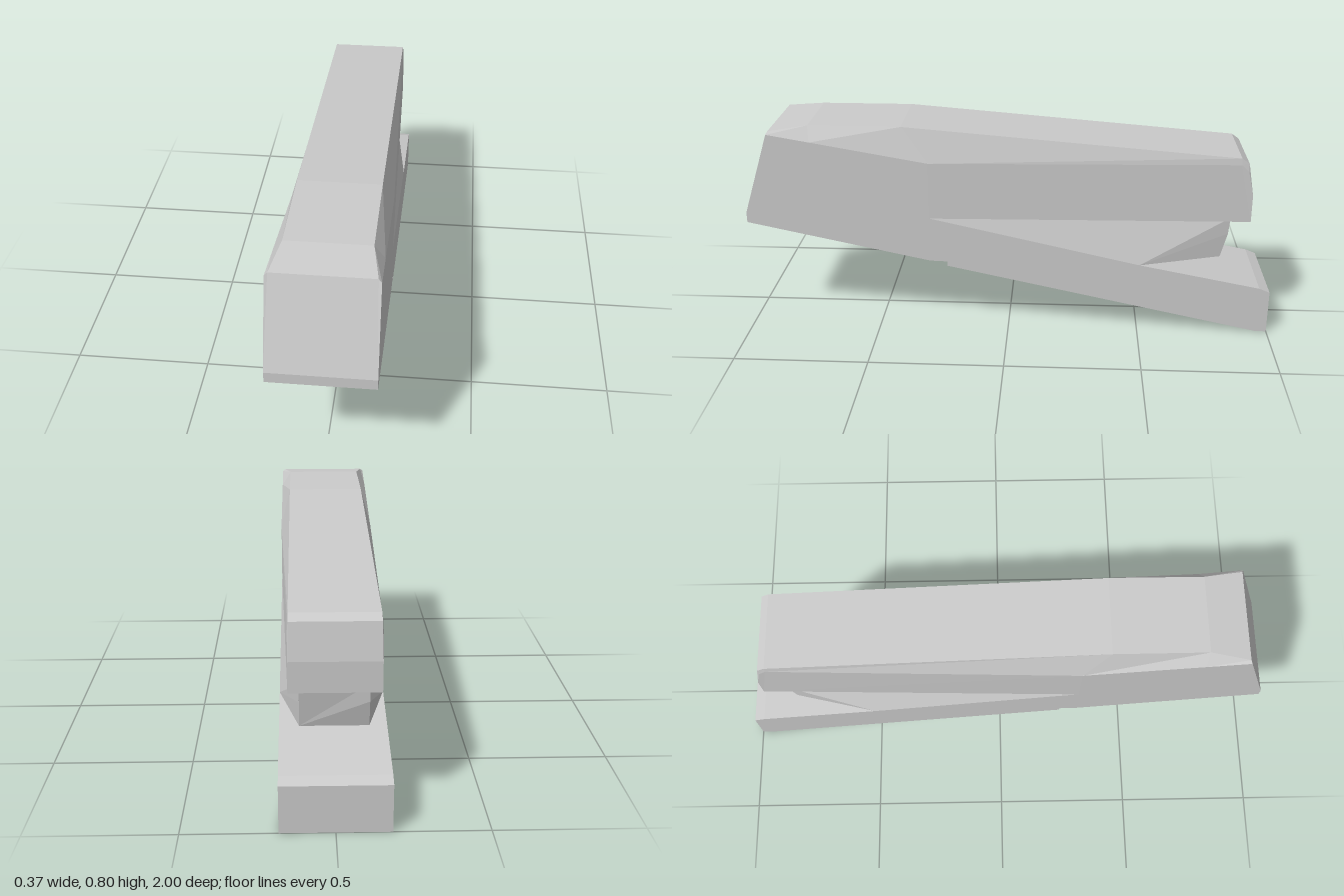
import * as THREE from 'three';

const material = new THREE.MeshStandardMaterial({ color: 0xcccccc, flatShading: true });

// Skins mirrored cross-sections running front to back.
// Each section lists [halfWidth, y, z] points from bottom to top.
function loft(name, sections, { start = false, end = false, top = true, bottom = true } = {}) {
  const n = sections[0].length, count = 2 * n;
  const rings = sections.map((s) => [
    ...s.map(([w, y, z]) => new THREE.Vector3(w, y, z)),
    ...s.slice().reverse().map(([w, y, z]) => new THREE.Vector3(-w, y, z)),
  ]);
  const out = [];
  const tri = (...pts) => {
    if (new THREE.Triangle(...pts).getArea() > 1e-7) pts.forEach((p) => out.push(p.x, p.y, p.z));
  };
  for (let i = 0; i + 1 < rings.length; i++) {
    for (let j = 0; j < count; j++) {
      if ((j === n - 1 && !top) || (j === count - 1 && !bottom)) continue;
      const k = (j + 1) % count;
      const a = rings[i][j], b = rings[i][k], c = rings[i + 1][k], d = rings[i + 1][j];
      tri(a, d, c);
      tri(a, c, b);
    }
  }
  const last = rings[rings.length - 1];
  for (let k = 1; k + 1 < count; k++) {
    if (start) tri(rings[0][0], rings[0][k], rings[0][k + 1]);
    if (end) tri(last[0], last[k + 1], last[k]);
  }
  const geometry = new THREE.BufferGeometry();
  geometry.setAttribute('position', new THREE.Float32BufferAttribute(out, 3));
  geometry.computeVertexNormals();
  const mesh = new THREE.Mesh(geometry, material);
  mesh.name = name;
  return mesh;
}

export function createModel() {
  const group = new THREE.Group();
  group.name = 'stapler';
  const W = 0.183;

  // Solid front block with the slanted nose: bottom, crease, top
  const crease = [W, 0.665, 0.3], ridge = [0.148, 0.795, 0.4];
  group.add(loft('frontBody', [
    [[W, 0.415, 1], [W, 0.455, 1], [W, 0.455, 1]],
    [[W, 0.415, 1], [W, 0.767, 0.9], [0.172, 0.777, 0.895]],
    [[W, 0.361, 0.74], [W, 0.74, 0.74], [0.147, 0.795, 0.75]],
    [[W, 0.27, 0.3], crease, ridge],
  ], { start: true }));

  // Tapering upper arm with a rounded rear end
  const heel = [0.15, 0.445, -0.91];
  group.add(loft('upperArm', [
    [[W, 0.445, 0.3], crease, ridge],
    [heel, [0.15, 0.67, -0.86], [0.147, 0.695, -0.86]],
    [heel, [0.15, 0.645, -0.888], [0.147, 0.675, -0.888]],
    [heel, [0.15, 0.55, -0.91], [0.148, 0.55, -0.91]],
  ], { end: true }));

  // Base: the joined part with its small underside step, then the free tail
  const split = [[W, 0.096, -0.5], [W, 0.27, -0.5]];
  group.add(loft('baseFront', [
    [[W, 0.27, 0.3], [W, 0.445, 0.3]],
    [[W, 0.268, 0.235], [W, 0.431, 0.235]],
    [[W, 0.25, 0.235], [W, 0.431, 0.235]],
    split,
  ], { top: false }));
  group.add(loft('baseTail', [
    split,
    [[W, 0, -0.96], [W, 0.183, -0.96]],
    [[W, 0, -1], [W, 0.167, -1]],
  ], { end: true }));

  // Staple magazine narrowing inward toward the rear
  group.add(loft('magazine', [
    [[W, 0.27, -0.5], [W, 0.27, -0.5], [W, 0.445, 0.3]],
    [[0.115, 0.285, -0.81], [0.115, 0.38, -0.835], [0.115, 0.445, -0.84]],
  ], { end: true, top: false }));

  return group;
}
